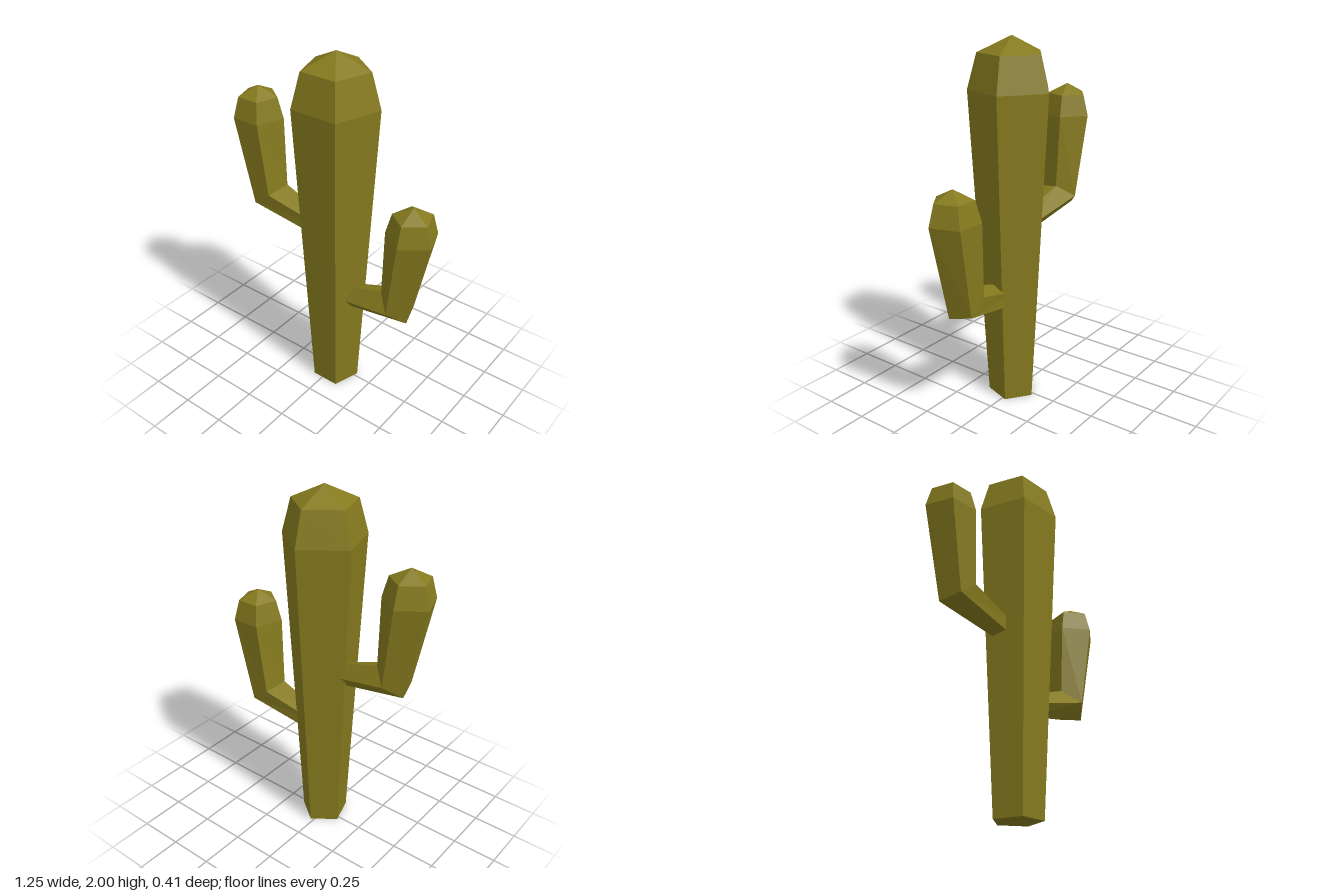
import * as THREE from 'three';

const SIDES = 5;

// Joins five-sided rings [x, y, radius, tilt] into a closed solid; radius 0 makes a point.
function loft(rings) {
  const loops = rings.map(([x, y, r, tilt = 0]) =>
    Array.from({ length: SIDES }, (_, i) => {
      const a = (i / SIDES) * Math.PI * 2;
      const s = r * Math.sin(a);
      return [x + s * Math.cos(tilt), y + s * Math.sin(tilt), -r * Math.cos(a)];
    }));
  const pos = [];
  for (let k = 0; k < loops.length - 1; k++) {
    const lo = loops[k], up = loops[k + 1];
    for (let i = 0; i < SIDES; i++) {
      const j = (i + 1) % SIDES;
      if (rings[k + 1][2] > 0) pos.push(...lo[i], ...up[i], ...up[j]);
      if (rings[k][2] > 0) pos.push(...lo[i], ...up[j], ...lo[j]);
    }
  }
  const geo = new THREE.BufferGeometry();
  geo.setAttribute('position', new THREE.Float32BufferAttribute(pos, 3));
  geo.computeVertexNormals();
  return geo;
}

export function createModel() {
  const group = new THREE.Group();
  group.name = 'cactus';
  const material = new THREE.MeshStandardMaterial({ color: 0x857a1e, flatShading: true });

  const add = (name, geo, x, y, z, turn = 0) => {
    const mesh = new THREE.Mesh(geo, material);
    mesh.name = name;
    mesh.position.set(x, y, z);
    mesh.rotation.y = turn;
    group.add(mesh);
  };

  // Trunk widening upwards, with a faceted dome
  add('trunk', loft([
    [0, 0, 0], [0, 0, 0.134], [0, 1.73, 0.229], [0, 1.915, 0.178], [0, 2, 0],
  ]), 0.02, 0, 0.02);

  // Arm: root inside the trunk, mitred elbow, swelling upright and dome
  const arm = loft([
    [-0.08, 0.99, 0, 1.4], [-0.08, 0.99, 0.064, 1.4],
    [-0.4275, 1.075, 0.11, 0.665],
    [-0.4925, 1.53, 0.139], [-0.4925, 1.645, 0.108], [-0.4925, 1.7, 0],
  ]);
  add('rightArm', arm, 0, 0, 0.02);
  add('leftArm', arm, 0, -0.385, 0.02, Math.PI);

  return group;
}
